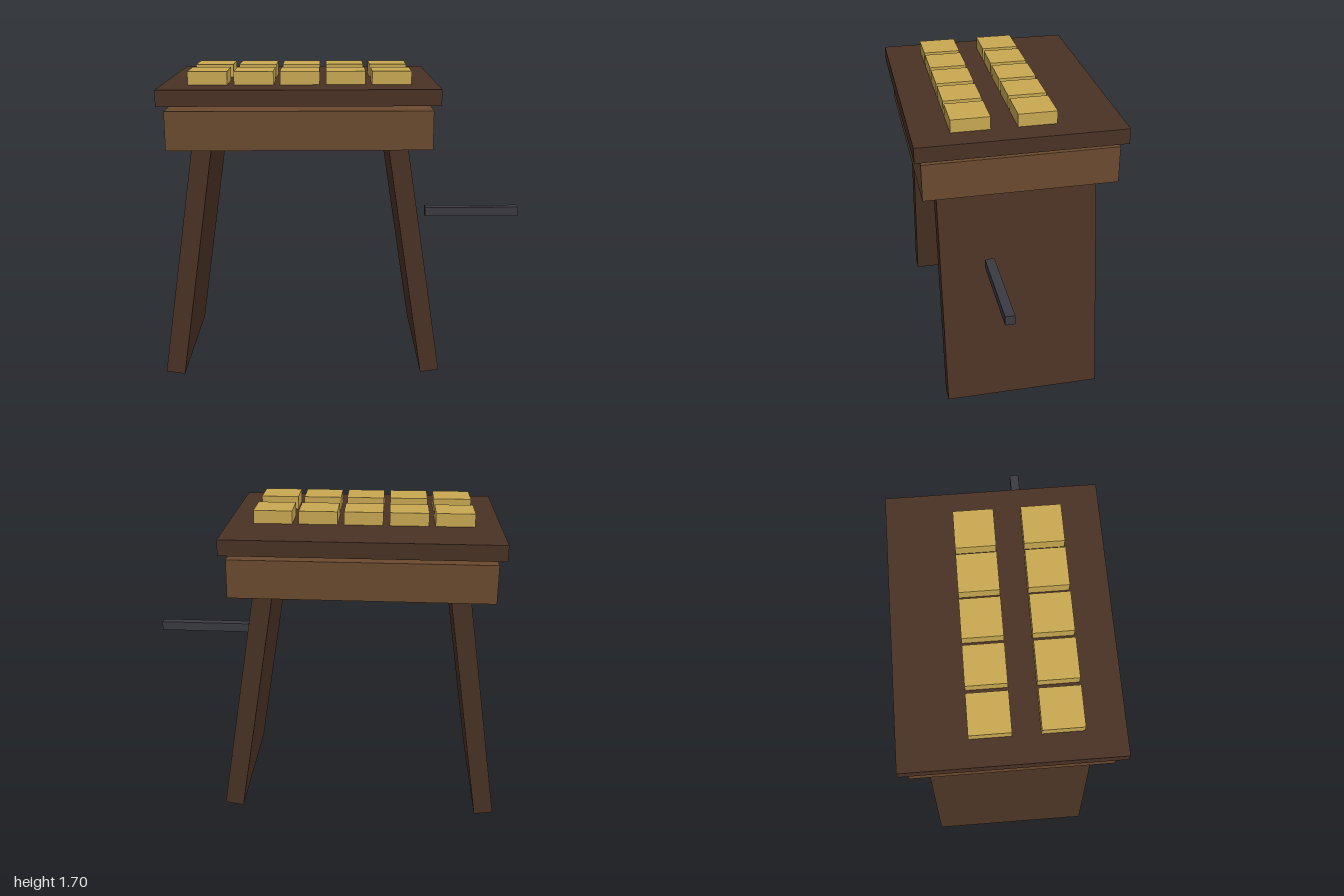
import * as THREE from 'three';

const paint = (color) => new THREE.MeshStandardMaterial({ color, flatShading: true });
const darkWood = paint(0x4a3224);
const midWood = paint(0x6b4a2f);
const gold = paint(0xc9a952);
const iron = paint(0x3a3a42);

const CX = -0.23; // middle of the table; the handle sticks out to +x

function box(name, material, size, position) {
  const mesh = new THREE.Mesh(new THREE.BoxGeometry(...size), material);
  mesh.name = name;
  mesh.position.set(...position);
  return mesh;
}

export function createModel() {
  const model = new THREE.Group();
  model.name = 'table';

  // Top board floating just above the thicker body
  model.add(box('tableTop', darkWood, [1.47, 0.085, 1.12], [CX, 1.583, 0]));
  model.add(box('tableBody', midWood, [1.4, 0.207, 1.05], [CX, 1.407, 0]));

  // Splayed slab legs, their tops hidden inside the body
  const tilt = 0.15, length = 1.4;
  for (const side of [-1, 1]) {
    const x = CX + side * (0.719 - Math.sin(tilt) * length / 2);
    const y = 0.008 + Math.cos(tilt) * length / 2;
    const leg = box(side < 0 ? 'rightLeg' : 'leftLeg', darkWood, [0.104, length, 0.88], [x, y, 0]);
    leg.rotation.z = side * tilt;
    model.add(leg);
  }

  // Two rows of five raised keys
  const keys = new THREE.Group();
  keys.name = 'keys';
  for (const z of [-0.103, 0.25]) {
    for (let i = 0; i < 5; i++) {
      keys.add(box('key', gold, [0.21, 0.075, 0.21], [CX + (i - 2) * 0.245, 1.659, z]));
    }
  }
  model.add(keys);

  // Side handle
  model.add(box('handle', iron, [0.53, 0.052, 0.052], [0.735, 0.881, 0.177]));

  return model;
}
